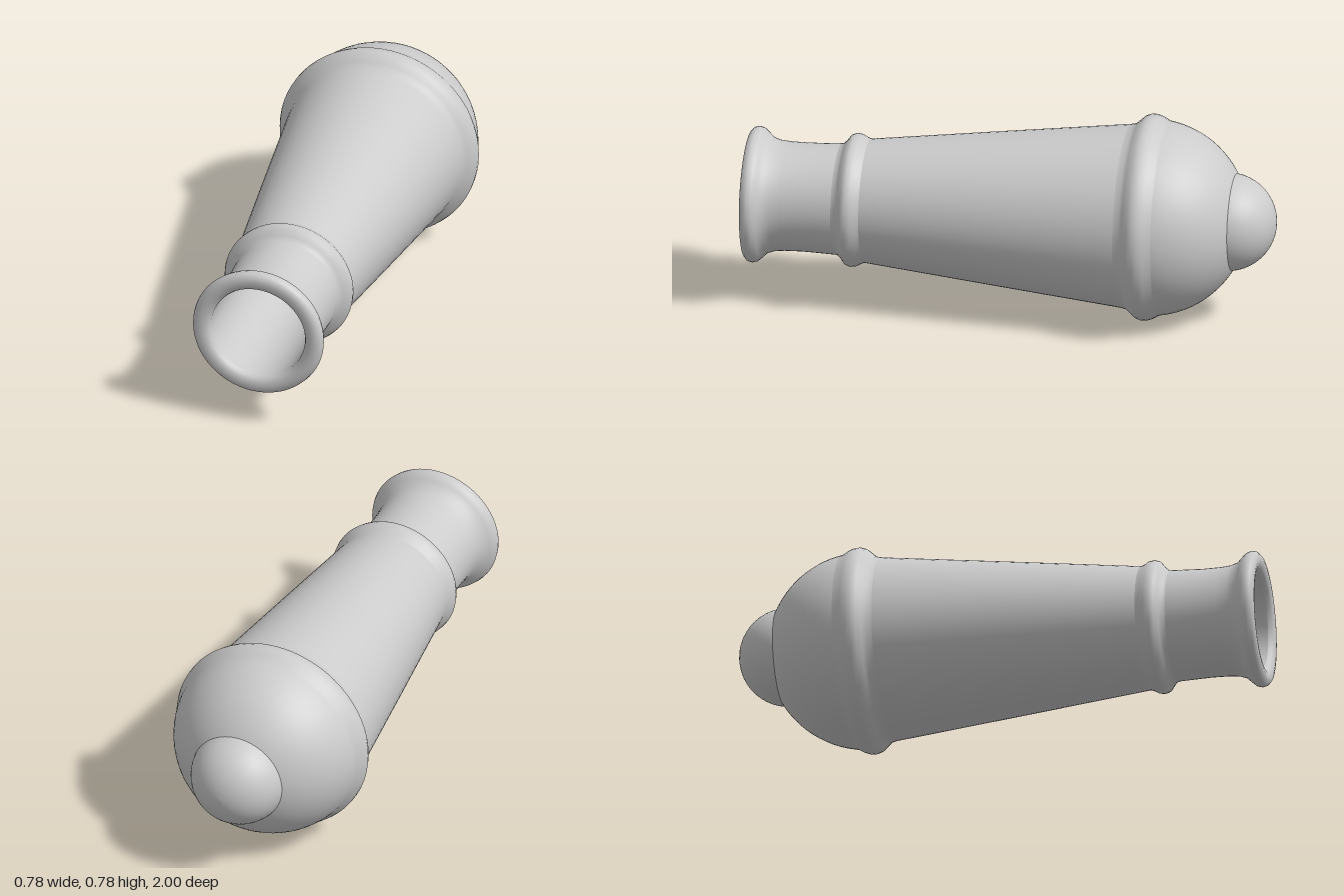
import * as THREE from 'three';

const AXIS_HEIGHT = 0.388;
const SEGMENTS = 64;

export function createModel() {
  const group = new THREE.Group();
  group.name = 'cannonBarrel';
  const material = new THREE.MeshStandardMaterial({ color: 0xcccccc });

  // Revolves [radius, z] points around the barrel axis.
  function turn(name, profile) {
    const points = profile.map(([r, z]) => new THREE.Vector2(r, z));
    const geometry = new THREE.LatheGeometry(points, SEGMENTS);
    geometry.rotateX(Math.PI / 2);
    const mesh = new THREE.Mesh(geometry, material);
    mesh.name = name;
    mesh.position.y = AXIS_HEIGHT;
    group.add(mesh);
  }

  // Rear-facing part of a sphere, from its pole to the given angle.
  function cap(radius, centre, angle, steps) {
    return Array.from({ length: steps + 1 }, (_, i) => {
      const a = (angle * i) / steps;
      return [radius * Math.sin(a), centre - radius * Math.cos(a)];
    });
  }

  // Rounded rear end
  turn('rearKnob', cap(0.185, -0.815, Math.PI * 0.58, 14));
  turn('breechDome', cap(0.37, -0.52, Math.PI * 0.46, 20));

  // Raised band around the breech
  turn('breechRing', [
    [0.362, -0.59], [0.368, -0.57], [0.38, -0.55], [0.387, -0.53],
    [0.388, -0.51], [0.381, -0.49], [0.363, -0.47], [0.35, -0.455], [0.344, -0.43],
  ]);

  // Long tapering body
  turn('taperedBody', [[0.349, -0.47], [0.29, 0.05], [0.23, 0.57]]);

  // Raised band behind the neck
  turn('neckRing', [
    [0.232, 0.545], [0.238, 0.562], [0.248, 0.58], [0.251, 0.6],
    [0.245, 0.617], [0.225, 0.632], [0.212, 0.645], [0.208, 0.66],
  ]);

  // Neck flaring into a rounded muzzle lip
  turn('muzzle', [
    [0.21, 0.63], [0.207, 0.7], [0.204, 0.78], [0.205, 0.85], [0.209, 0.89],
    [0.219, 0.918], [0.238, 0.938], [0.251, 0.953], [0.256, 0.97],
    [0.252, 0.986], [0.24, 0.997], [0.222, 1], [0.203, 0.997], [0.19, 0.988], [0.184, 0.975],
  ]);

  // Hollow bore and its flat floor
  turn('boreWall', [[0.184, 0.975], [0.184, -0.4]]);
  turn('boreFloor', [[0.184, -0.4], [0, -0.4]]);

  return group;
}
